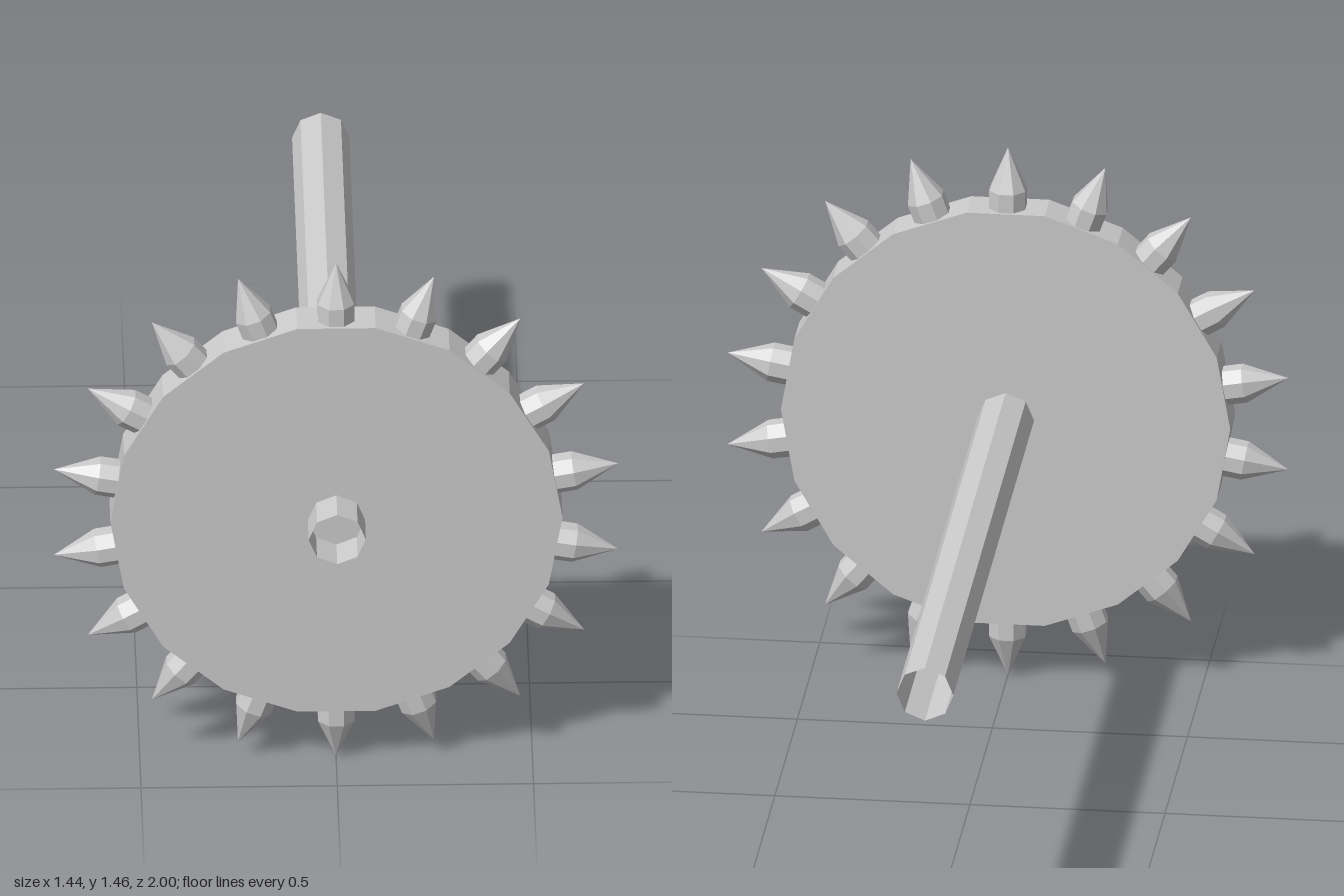
import * as THREE from 'three';
import { mergeVertices } from 'three/addons/utils/BufferGeometryUtils.js';

const SPIKES = 18;
const HUB_Y = 0.733;   // height of the wheel axis
const WHEEL_Z = 0.848; // middle of the wheel's thickness

export function createModel() {
  const model = new THREE.Group();
  const solid = new THREE.MeshStandardMaterial({ color: 0xcccccc, flatShading: true });
  const open = new THREE.MeshStandardMaterial({ color: 0xcccccc, flatShading: true, side: THREE.DoubleSide });

  // Wheel: 18-sided disc with a flat at the top
  const discGeometry = new THREE.CylinderGeometry(0.576, 0.576, 0.108, SPIKES, 1, false, Math.PI / SPIKES);
  const disc = new THREE.Mesh(discGeometry.rotateX(Math.PI / 2), solid);
  disc.name = 'wheelDisc';
  disc.position.set(0, HUB_Y, WHEEL_Z);
  model.add(disc);

  // Shaft: open octagonal tube through the wheel
  const shaftGeometry = new THREE.CylinderGeometry(0.073, 0.073, 2, 8, 1, true);
  const shaft = new THREE.Mesh(shaftGeometry.rotateX(Math.PI / 2), open);
  shaft.name = 'shaft';
  shaft.position.y = HUB_Y;
  model.add(shaft);

  // Spikes: octagonal stud with a pointed tip, one on each flat of the rim
  const profile = [[0.05, 0.54], [0.05, 0.617], [0, 0.73]].map(([r, y]) => new THREE.Vector2(r, y));
  const spikeGeometry = mergeVertices(new THREE.LatheGeometry(profile, 8, Math.PI / 8));
  const spikes = new THREE.Group();
  spikes.name = 'spikes';
  spikes.position.set(0, HUB_Y, WHEEL_Z);
  for (let i = 0; i < SPIKES; i++) {
    const spike = new THREE.Mesh(spikeGeometry, solid);
    spike.name = 'spike';
    spike.rotation.z = (i / SPIKES) * Math.PI * 2;
    spikes.add(spike);
  }
  model.add(spikes);

  return model;
}
